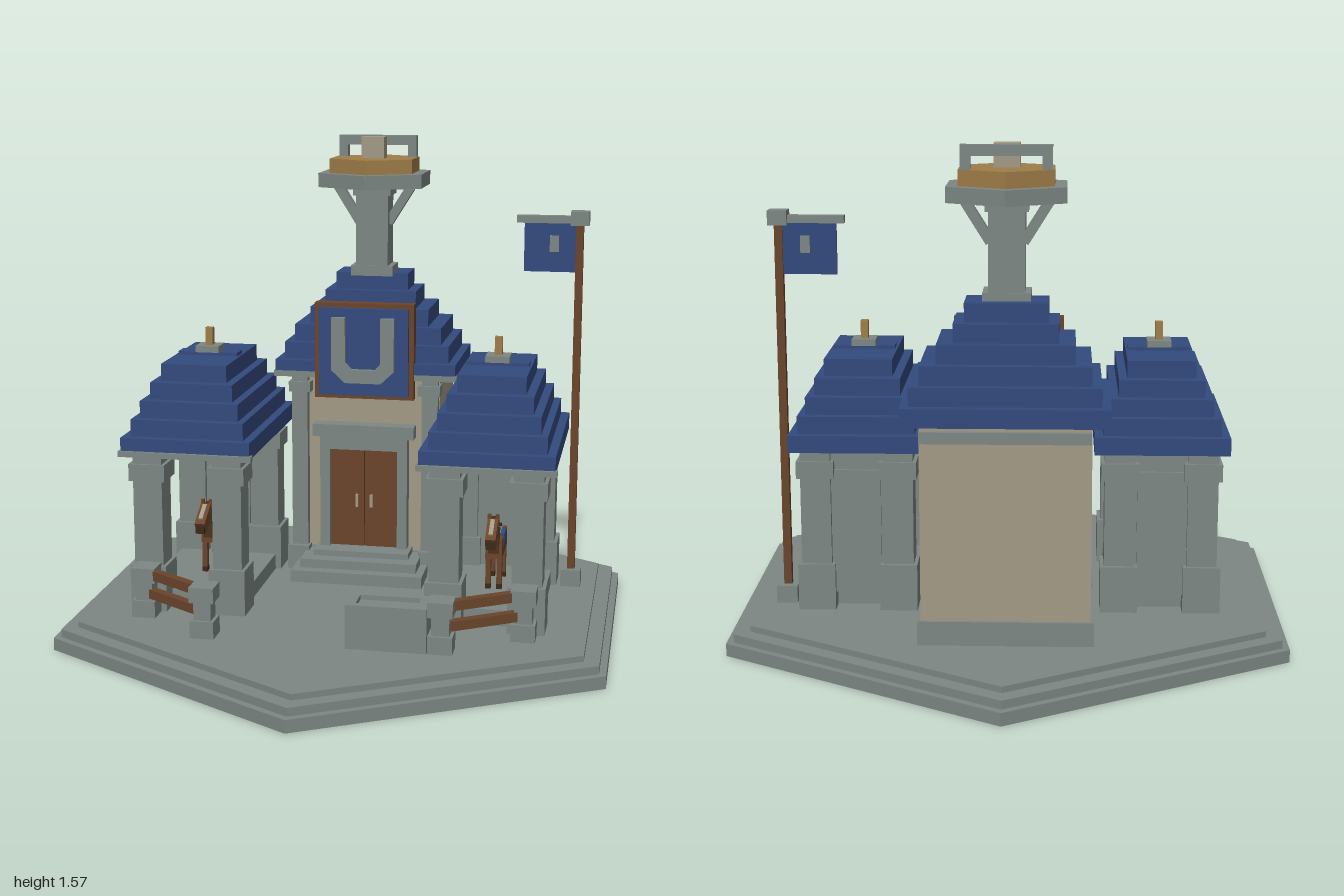
import * as THREE from 'three';

const mat = (name, color) => {
  const m = new THREE.MeshStandardMaterial({ color });
  m.name = name;
  return m;
};

export function createModel() {
  const stone = mat('stone', 0x7d8784);
  const blue = mat('blue', 0x334a7d);
  const wood = mat('wood', 0x6a452b);
  const plaster = mat('plaster', 0xa39a85);
  const gold = mat('gold', 0x9f7d48);
  const dark = mat('dark brown', 0x3f2817);

  const model = new THREE.Group();
  model.name = 'stable';

  const group = (name, x = 0, y = 0, z = 0) => {
    const g = new THREE.Group();
    g.name = name;
    g.position.set(x, y, z);
    model.add(g);
    return g;
  };
  // Box by centre x/z, bottom and top y, width and depth
  const block = (parent, name, m, x, y0, y1, z, w, d) => {
    const mesh = new THREE.Mesh(new THREE.BoxGeometry(w, y1 - y0, d), m);
    mesh.name = name;
    mesh.position.set(x, (y0 + y1) / 2, z);
    parent.add(mesh);
    return mesh;
  };
  // Square beam between two points
  const beam = (parent, name, m, a, b, w, h) => {
    const p = new THREE.Vector3(...a), q = new THREE.Vector3(...b);
    const mesh = new THREE.Mesh(new THREE.BoxGeometry(w, h, p.distanceTo(q)), m);
    mesh.name = name;
    mesh.position.copy(p).add(q).multiplyScalar(0.5);
    mesh.lookAt(q);
    parent.add(mesh);
    return mesh;
  };
  // Hexagonal slab with points along z
  const hex = (parent, name, m, r, y0, y1, z = 0) => {
    const geo = new THREE.CylinderGeometry(r, r, y1 - y0, 6).toNonIndexed();
    geo.computeVertexNormals();
    const mesh = new THREE.Mesh(geo, m);
    mesh.name = name;
    mesh.position.set(0, (y0 + y1) / 2, z);
    parent.add(mesh);
  };
  // Stack of shrinking slabs: [half width, half depth] per step
  const steppedRoof = (parent, y, step, z, sizes) => sizes.forEach(([hw, hd], i) =>
    block(parent, 'roofStep', blue, 0, y + i * step, y + (i + 1) * step, z, hw * 2, hd * 2));

  // Hexagonal ground slab
  const base = group('groundSlab');
  hex(base, 'lowerSlab', stone, 1, 0, 0.04);
  hex(base, 'middleSlab', stone, 0.975, 0.04, 0.066);
  hex(base, 'topSlab', stone, 0.92, 0.066, 0.085);

  // Main hall
  const hall = group('mainHall');
  block(hall, 'footing', stone, 0, 0.085, 0.16, -0.43, 0.53, 0.36);
  block(hall, 'walls', plaster, 0, 0.16, 0.765, -0.425, 0.51, 0.35);
  block(hall, 'backBand', stone, 0, 0.71, 0.745, -0.605, 0.51, 0.02);
  block(hall, 'eave', stone, 0, 0.765, 0.785, -0.232, 0.63, 0.02);
  steppedRoof(hall, 0.765, 0.0575, -0.435,
    [[0.31, 0.212], [0.283, 0.183], [0.253, 0.157], [0.205, 0.13], [0.157, 0.1], [0.125, 0.072]]);
  for (const s of [-1, 1]) {
    block(hall, 'columnBase', stone, s * 0.228, 0.085, 0.17, -0.24, 0.075, 0.08);
    block(hall, 'column', stone, s * 0.225, 0.17, 0.765, -0.245, 0.055, 0.05);
    block(hall, 'capital', stone, s * 0.223, 0.715, 0.75, -0.243, 0.075, 0.07);
    block(hall, 'doorJamb', stone, s * 0.134, 0.16, 0.565, -0.23, 0.034, 0.05);
    block(hall, 'doorLeaf', wood, s * 0.059, 0.175, 0.52, -0.24, 0.115, 0.03);
    block(hall, 'doorHandle', plaster, s * 0.025, 0.315, 0.36, -0.222, 0.01, 0.01);
  }
  block(hall, 'doorHead', stone, 0, 0.52, 0.565, -0.23, 0.234, 0.05);
  block(hall, 'doorLintel', stone, 0, 0.565, 0.608, -0.225, 0.35, 0.06);
  block(hall, 'lowStep', stone, 0, 0.085, 0.125, -0.155, 0.45, 0.19);
  block(hall, 'middleStep', stone, 0, 0.125, 0.155, -0.175, 0.4, 0.15);
  block(hall, 'topStep', stone, 0, 0.155, 0.175, -0.2, 0.33, 0.1);

  // Sign board with horseshoe
  const sign = group('signBoard');
  block(sign, 'frame', wood, 0, 0.698, 1.025, -0.238, 0.34, 0.044);
  block(sign, 'panel', blue, 0, 0.712, 1.01, -0.21, 0.306, 0.02);
  const shoe = new THREE.Shape([[-0.107, 0.98], [-0.107, 0.8], [-0.062, 0.757], [0.062, 0.757], [0.107, 0.8],
    [0.107, 0.98], [0.06, 0.98], [0.06, 0.825], [0.04, 0.803], [-0.04, 0.803], [-0.06, 0.825], [-0.06, 0.98]]
    .map(([x, y]) => new THREE.Vector2(x, y)));
  const horseshoe = new THREE.Mesh(new THREE.ExtrudeGeometry(shoe, { depth: 0.02, bevelEnabled: false }), stone);
  horseshoe.name = 'horseshoe';
  horseshoe.position.z = -0.202;
  sign.add(horseshoe);

  // Lookout tower on the hall roof
  const tower = group('tower', 0, 0, -0.415);
  block(tower, 'foot', stone, 0, 1.1, 1.135, 0, 0.145, 0.12);
  block(tower, 'shaft', stone, 0, 1.13, 1.41, 0, 0.11, 0.11);
  block(tower, 'neck', stone, 0, 1.375, 1.41, 0, 0.13, 0.125);
  for (const s of [-1, 1]) {
    beam(tower, 'brace', stone, [s * 0.05, 1.28, 0], [s * 0.125, 1.4, 0], 0.035, 0.03);
    block(tower, 'railPost', stone, s * 0.12, 1.5, 1.54, -0.072, 0.03, 0.035);
  }
  hex(tower, 'platform', stone, 0.204, 1.405, 1.452);
  hex(tower, 'deck', gold, 0.163, 1.452, 1.5);
  block(tower, 'rail', stone, 0, 1.54, 1.572, -0.072, 0.27, 0.035);
  block(tower, 'stub', plaster, 0, 1.5, 1.572, 0.012, 0.078, 0.062);

  for (const s of [-1, 1]) {
    // Open pavilion
    const pav = group(s > 0 ? 'leftPavilion' : 'rightPavilion', s * 0.478);
    block(pav, 'floor', stone, 0, 0.085, 0.138, 0, 0.34, 0.5);
    for (const x of [-0.13, 0.13]) for (const z of [-0.25, 0.255]) {
      block(pav, 'columnBase', stone, x, 0.085, 0.235, z, 0.118, 0.12);
      block(pav, 'column', stone, x, 0.235, 0.605, z, 0.095, 0.095);
      block(pav, 'capital', stone, x, 0.515, 0.57, z, 0.118, 0.115);
    }
    block(pav, 'backWall', stone, 0, 0.138, 0.605, -0.25, 0.3, 0.06);
    block(pav, 'wallPanel', stone, 0, 0.138, 0.54, -0.25, 0.15, 0.08);
    block(pav, 'eave', stone, 0, 0.597, 0.615, 0.318, 0.435, 0.026);
    steppedRoof(pav, 0.602, 0.055, 0,
      [[0.211, 0.32], [0.184, 0.293], [0.161, 0.265], [0.135, 0.235], [0.108, 0.2]]);
    block(pav, 'ridge', blue, 0, 0.877, 0.888, 0, 0.2, 0.06);
    block(pav, 'finialBase', stone, 0, 0.888, 0.909, 0, 0.078, 0.078);
    block(pav, 'finial', gold, 0, 0.909, 0.967, 0, 0.024, 0.024);

    // Horse in the pavilion
    const horse = group('horse', s * 0.478);
    block(horse, 'body', wood, 0, 0.242, 0.308, -0.03, 0.054, 0.165);
    for (const x of [-0.018, 0.018]) for (const z of [0.035, -0.097]) {
      block(horse, 'leg', wood, x, 0.155, 0.25, z, 0.017, 0.02);
      block(horse, 'hoof', dark, x, 0.138, 0.155, z, 0.018, 0.022);
    }
    beam(horse, 'neck', wood, [0, 0.27, 0.035], [0, 0.37, 0.085], 0.036, 0.045);
    beam(horse, 'head', wood, [0, 0.37, 0.075], [0, 0.322, 0.155], 0.034, 0.04);
    beam(horse, 'mane', dark, [0, 0.305, 0.022], [0, 0.385, 0.063], 0.014, 0.014);
    block(horse, 'muzzle', dark, 0, 0.305, 0.33, 0.152, 0.03, 0.022);
    beam(horse, 'blaze', plaster, [0, 0.386, 0.095], [0, 0.352, 0.153], 0.014, 0.006);
    for (const x of [-0.013, 0.013]) block(horse, 'ear', wood, x, 0.37, 0.398, 0.072, 0.011, 0.012);
    beam(horse, 'tail', dark, [0, 0.3, -0.112], [0, 0.235, -0.122], 0.016, 0.014);
    block(horse, 'blanket', blue, 0, 0.275, 0.316, -0.025, 0.06, 0.07);
    block(horse, 'saddle', stone, 0, 0.316, 0.324, -0.025, 0.036, 0.055);
    for (const z of [0.002, -0.052]) block(horse, 'saddleEnd', dark, 0, 0.316, 0.334, z, 0.03, 0.01);

    // Fence from the outer front column inwards
    const fence = group('fence');
    const posts = [[s * 0.605, 0.347], [s * 0.37, 0.5]];
    for (const [x, z] of posts) {
      block(fence, 'postFoot', stone, x, 0.085, 0.14, z, 0.076, 0.076);
      block(fence, 'post', stone, x, 0.14, 0.2, z, 0.055, 0.055);
      block(fence, 'postCap', stone, x, 0.2, 0.248, z, 0.078, 0.078);
    }
    const [[ax, az], [bx, bz]] = posts;
    for (const y of [0.162, 0.226])
      beam(fence, 'fenceRail', wood, [ax, y, az], [bx, y, bz], 0.028, 0.03);
  }

  // Water trough
  const trough = group('trough', 0.205, 0, 0.475);
  block(trough, 'basin', stone, 0, 0.085, 0.21, 0, 0.25, 0.128);
  for (const s of [-1, 1]) {
    block(trough, 'longRim', stone, 0, 0.21, 0.225, s * 0.051, 0.25, 0.026);
    block(trough, 'shortRim', stone, s * 0.11, 0.21, 0.225, 0, 0.03, 0.076);
  }

  // Flagpole with hanging banner
  const flag = group('flagpole', 0.714, 0, -0.217);
  block(flag, 'poleFoot', stone, 0, 0.085, 0.142, 0, 0.066, 0.066);
  block(flag, 'pole', wood, 0, 0.142, 1.31, 0, 0.025, 0.025);
  block(flag, 'poleCap', stone, 0, 1.305, 1.35, 0, 0.06, 0.06);
  block(flag, 'arm', stone, -0.115, 1.31, 1.334, 0, 0.18, 0.03);
  block(flag, 'banner', blue, -0.096, 1.15, 1.31, 0, 0.168, 0.01);
  block(flag, 'bannerPatch', stone, -0.082, 1.216, 1.27, 0, 0.03, 0.016);

  return model;
}
